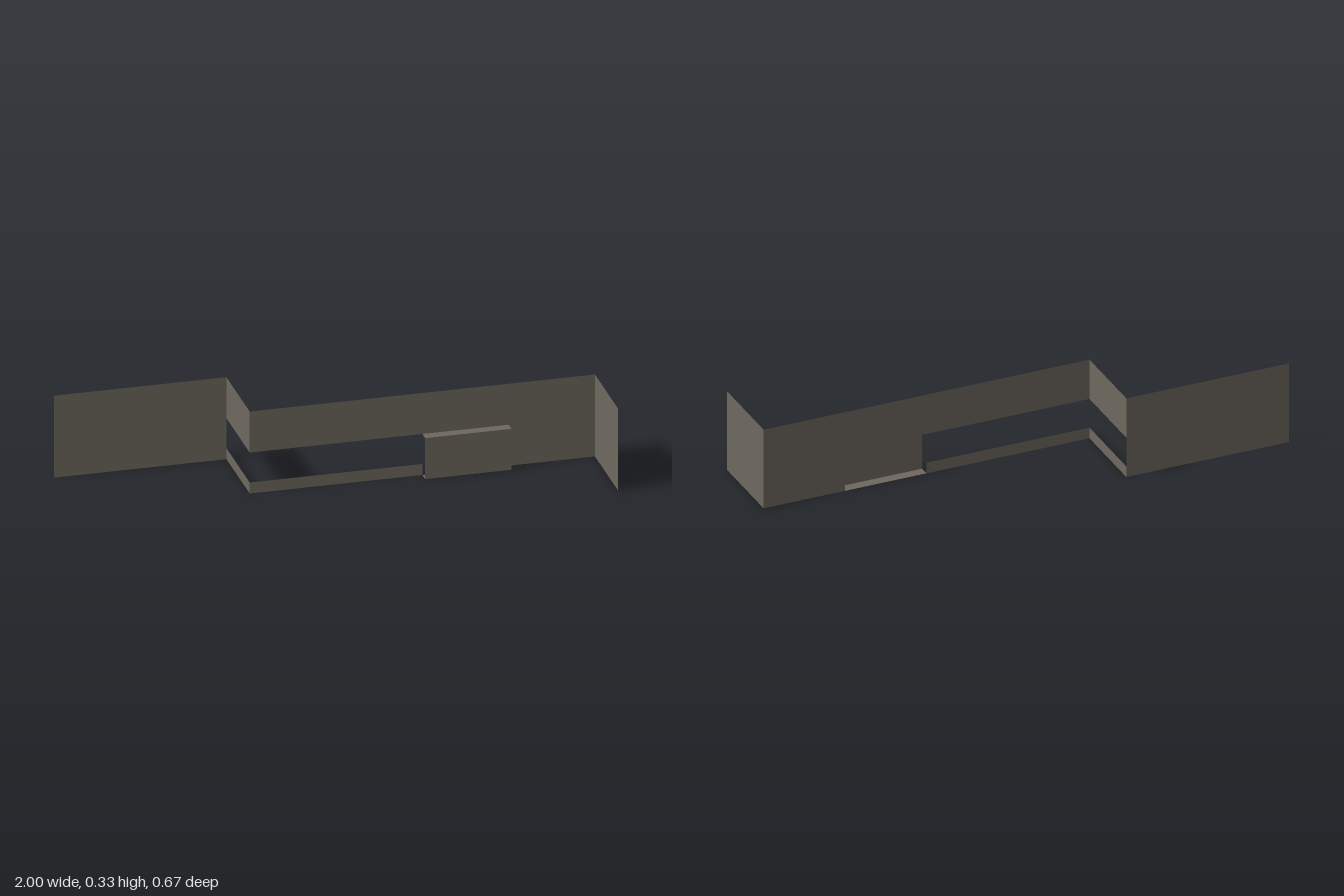
import * as THREE from 'three';

const T = 1 / 3;       // plan module
const H = T;           // wall height
const SILL = 0.045;    // top of the low rail
const HEAD = T / 2;    // top of the opening
const BAY = 0.04;      // projection of the bay

export function createModel() {
  const model = new THREE.Group();
  model.name = 'steppedWall';
  const stone = new THREE.MeshStandardMaterial({ color: 0x6e685f, side: THREE.DoubleSide });
  stone.name = 'warm grey';

  // Upright sheet between two plan points [x, z]
  function panel(name, [ax, az], [bx, bz], y0, y1, parent = model) {
    const dx = bx - ax, dz = bz - az;
    const mesh = new THREE.Mesh(new THREE.PlaneGeometry(Math.hypot(dx, dz), y1 - y0), stone);
    mesh.name = name;
    mesh.position.set((ax + bx) / 2, (y0 + y1) / 2, (az + bz) / 2);
    mesh.rotation.y = -Math.atan2(dz, dx);
    parent.add(mesh);
  }

  // Solid end walls
  panel('rearWall', [-1, -T], [-T, -T], 0, H);
  panel('endWall', [1, 0], [1, T], 0, H);

  // Step wall with a full-length slot: rail below, band above
  panel('stepRail', [-T, -T], [-T, 0], 0, SILL);
  panel('stepBand', [-T, -T], [-T, 0], HEAD, H);

  // Main wall around the slot and the bay opening
  panel('mainRail', [-T, 0], [T, 0], 0, SILL);
  panel('mainBand', [-T, 0], [1, 0], HEAD, H);
  panel('mainPier', [2 * T, 0], [1, 0], 0, HEAD);

  // Shallow bay, open at the back and towards the slot
  const bay = new THREE.Group();
  bay.name = 'bay';
  model.add(bay);
  panel('bayFront', [T, BAY], [2 * T, BAY], 0, HEAD, bay);
  panel('baySide', [2 * T, BAY], [2 * T, 0], 0, HEAD, bay);
  for (const [name, y, turn] of [['bayTop', HEAD, -1], ['bayBottom', 0, 1]]) {
    const mesh = new THREE.Mesh(new THREE.PlaneGeometry(T, BAY), stone);
    mesh.name = name;
    mesh.rotation.x = turn * Math.PI / 2;
    mesh.position.set(1.5 * T, y, BAY / 2);
    bay.add(mesh);
  }

  return model;
}
